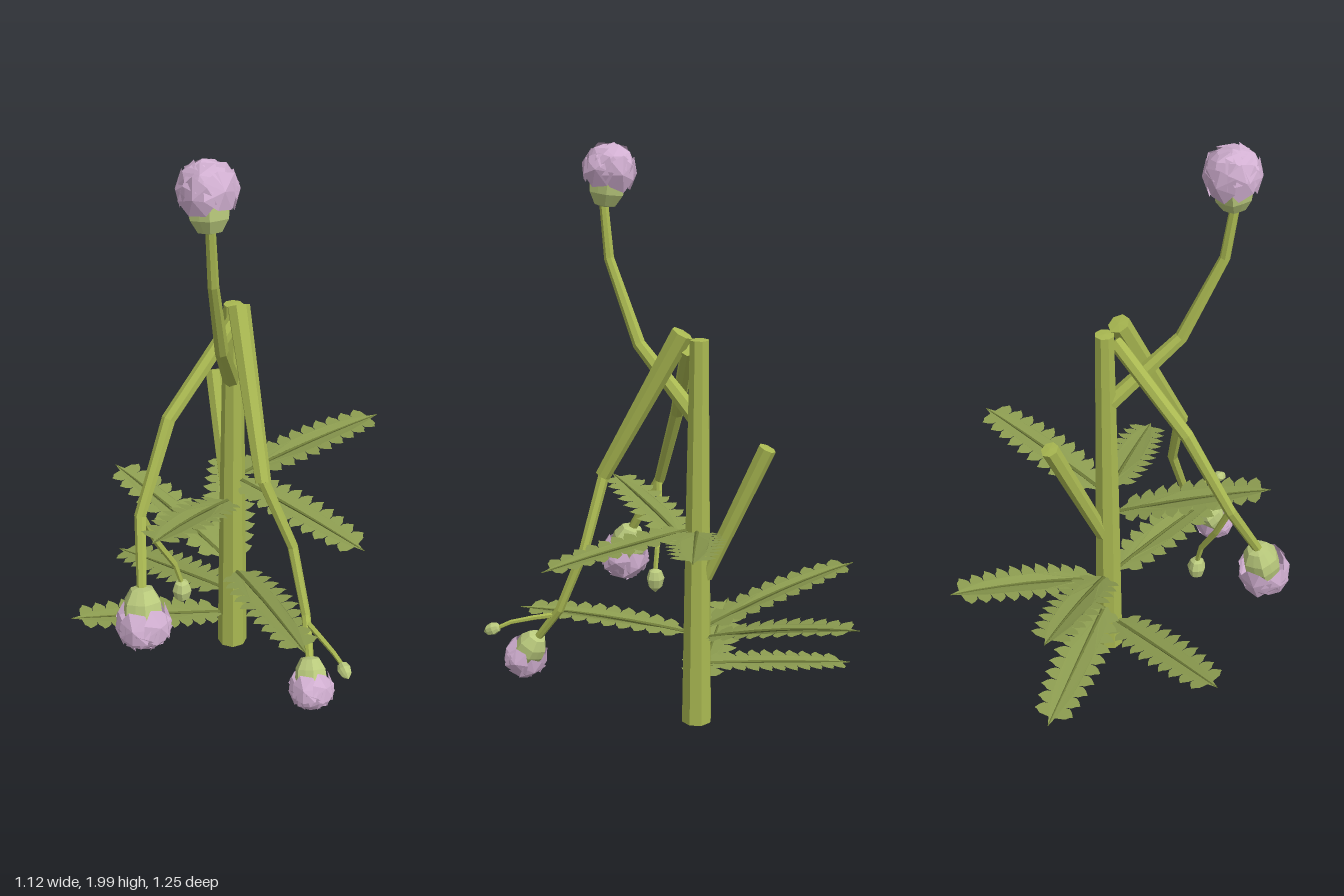
import * as THREE from 'three';
import { mergeGeometries } from 'three/addons/utils/BufferGeometryUtils.js';

const V = (x, y, z) => new THREE.Vector3(x, y, z);
const mat = (color) => new THREE.MeshStandardMaterial({ color, flatShading: true, side: THREE.DoubleSide });
const STEM = mat(0xa9b851), LEAF = mat(0x8c9c50), RIB = mat(0x6d7a38), CALYX = mat(0xb9c97c), PETAL = mat(0xd2b0d2);
const UP = V(0, 1, 0);

// Straight-segmented path whose corners fall exactly on the tube rings
class Polyline extends THREE.Curve {
  constructor(pts) { super(); this.pts = pts; }
  getPoint(t, out = V(0, 0, 0)) {
    const n = this.pts.length - 1, f = t * n, i = Math.min(Math.floor(f + 1e-9), n - 1);
    return out.lerpVectors(this.pts[i], this.pts[i + 1], f - i);
  }
  getPointAt(t, out) { return this.getPoint(t, out); }
  getTangentAt(t, out) { return this.getTangent(t, out); }
}

function add(parent, name, geo, material) {
  const m = new THREE.Mesh(geo, material);
  m.name = name;
  parent.add(m);
  return m;
}

// Capped stalk through [x, y, z, radius] points
function stalk(parent, name, pts, sides = 7, material = STEM) {
  const p = pts.map((a) => V(a[0], a[1], a[2])), r = pts.map((a) => a[3]), n = p.length;
  const cap = (end, prev) => end.clone().add(end.clone().sub(prev).setLength(0.002));
  const path = [cap(p[0], p[1]), ...p, cap(p[n - 1], p[n - 2])];
  const radii = [0.0001, ...r, 0.0001];
  const geo = new THREE.TubeGeometry(new Polyline(path), path.length - 1, 1, sides, false);
  const pos = geo.attributes.position, v = V(0, 0, 0);
  for (let i = 0; i < pos.count; i++) {
    const k = Math.floor(i / (sides + 1));
    v.fromBufferAttribute(pos, i).sub(path[k]).multiplyScalar(radii[k]).add(path[k]);
    pos.setXYZ(i, v.x, v.y, v.z);
  }
  return add(parent, name, geo, material);
}

// Half of a lobed blade: u runs along the midrib, w is the distance from it
function halfBlade() {
  const lobes = 10, start = 0.06, d = 0.088;
  const width = (u) => 0.1 * (0.6 + 0.4 * Math.sin(Math.PI * Math.pow(u, 0.85)));
  const s = new THREE.Shape();
  s.moveTo(0, 0);
  s.lineTo(0, 0.008);
  for (let i = 0; i < lobes; i++) {
    const u = start + i * d, w = width(u + d / 2);
    [[0, 0.45], [0.02, 0.68], [0.25, 0.85], [0.62, 1], [0.72, 0.84], [0.92, 0.68]]
      .forEach(([a, b]) => s.lineTo(u + a * d, w * b));
  }
  s.lineTo(start + lobes * d, 0.012);
  s.lineTo(1, 0.001);
  for (let i = 20; i > 0; i--) s.lineTo(i / 20.2, 0);
  return new THREE.ShapeGeometry(s);
}

// Leaf bent along an arched midrib from base to tip
function leaf(parent, base, tip, arch) {
  const g = new THREE.Group();
  g.name = 'leaf';
  parent.add(g);
  const mid = base.clone().lerp(tip, 0.5);
  mid.y += arch;
  const curve = new THREE.QuadraticBezierCurve3(base, mid, tip);
  const side = tip.clone().sub(base).cross(UP).normalize();
  const halves = [1, -1].map((sgn) => {
    const geo = halfBlade(), pos = geo.attributes.position;
    for (let i = 0; i < pos.count; i++) {
      const w = pos.getY(i);
      const p = curve.getPoint(pos.getX(i)).addScaledVector(side, sgn * w);
      pos.setXYZ(i, p.x, p.y + w * 0.06, p.z);
    }
    // Both halves wind so that their front faces up
    if (sgn > 0) geo.index.array.reverse();
    geo.computeVertexNormals();
    return geo;
  });
  add(g, 'blade', mergeGeometries(halves), LEAF);
  const rib = curve.getPoints(6).map((p, i) => [p.x, p.y, p.z, 0.008 - 0.001 * i]);
  stalk(g, 'midrib', rib, 5, RIB);
}

// Ribbed cup or bud: lathe profile with every second edge pulled in
function ribbed(profile, sides) {
  const geo = new THREE.LatheGeometry(profile.map(([r, y]) => new THREE.Vector2(r, y)), sides);
  const pos = geo.attributes.position, rows = profile.length;
  for (let i = 0; i < pos.count; i++) {
    const k = Math.floor(i / rows) % 2 ? 0.9 : 1;
    pos.setX(i, pos.getX(i) * k);
    pos.setZ(i, pos.getZ(i) * k);
  }
  return geo;
}

// Group standing at a point with its y axis along dir
function aimed(parent, name, at, dir, scale) {
  const g = new THREE.Group();
  g.name = name;
  g.position.copy(at);
  g.quaternion.setFromUnitVectors(UP, dir.normalize());
  g.scale.setScalar(scale);
  parent.add(g);
  return g;
}

function flower(parent, at, dir, scale) {
  const g = aimed(parent, 'flower', at, dir, scale);
  add(g, 'calyx', ribbed([[0.001, 0], [0.04, 0.01], [0.064, 0.05], [0.068, 0.09], [0.058, 0.13], [0.001, 0.16]], 12), CALYX);
  // Cupped petals in rings around a ball
  const petals = [], R = 0.094;
  [[6, 0.02, 0.06], [5, 0.72, 0.054], [1, 1.57, 0.048]].forEach(([n, elev, r], ring) => {
    for (let i = 0; i < n; i++) {
      const a = (i + ring * 0.5) / n * Math.PI * 2, e = elev + 0.13 * Math.sin(i * 2.4 + ring);
      const geo = new THREE.CircleGeometry(r, 7, i * 0.8), pos = geo.attributes.position;
      for (let k = 1; k < pos.count; k++) {
        const j = 1 + 0.1 * Math.sin(((k - 1) % 7) * 2.6 + i);
        pos.setXYZ(k, pos.getX(k) * j, pos.getY(k) * j, -0.022 + 0.007 * Math.sin(((k - 1) % 7) * 1.9 + i));
      }
      const out = V(Math.cos(e) * Math.cos(a), Math.sin(e), Math.cos(e) * Math.sin(a));
      geo.applyQuaternion(new THREE.Quaternion().setFromUnitVectors(V(0, 0, 1), out));
      geo.translate(out.x * R, out.y * R * 0.98 + 0.128, out.z * R);
      petals.push(geo);
    }
  });
  add(g, 'petals', mergeGeometries(petals), PETAL);
}

function bud(parent, at, dir, scale) {
  const g = aimed(parent, 'bud', at, dir, scale);
  add(g, 'budCase', ribbed([[0.001, 0], [0.024, 0.012], [0.034, 0.04], [0.026, 0.072], [0.001, 0.094]], 10), CALYX);
}

export function createModel() {
  const root = new THREE.Group();
  root.name = 'floweringPlant';

  // Main stem and cut side branch
  stalk(root, 'mainStem', [[0.018, 0, -0.028, 0.054], [0.018, 0.7, -0.032, 0.044], [0.02, 1.365, -0.038, 0.033]], 8);
  stalk(root, 'cutBranch', [[0.01, 0.54, -0.055, 0.026], [-0.038, 1.01, -0.262, 0.031]], 7);

  // Upright flower
  stalk(root, 'uprightStalk', [[0.012, 1.1, -0.02, 0.03], [-0.03, 1.32, 0.215, 0.023], [-0.06, 1.6, 0.345, 0.018], [-0.068, 1.78, 0.367, 0.016]]);
  flower(root, V(-0.069, 1.77, 0.366), V(-0.04, 1, -0.14), 1);

  // Drooping flower on the right, with its side bud
  stalk(root, 'rightStalk', [[0.025, 1.33, 0.0, 0.026], [-0.2, 1.05, 0.16, 0.024], [-0.3, 0.76, 0.285, 0.02], [-0.3, 0.55, 0.405, 0.017]]);
  flower(root, V(-0.3, 0.565, 0.4), V(0.02, -0.95, 0.28), 1);
  stalk(root, 'rightBudStalk', [[-0.295, 0.76, 0.285, 0.012], [-0.25, 0.64, 0.26, 0.011], [-0.19, 0.53, 0.238, 0.01], [-0.168, 0.45, 0.235, 0.009]], 6);
  bud(root, V(-0.168, 0.465, 0.235), V(0, -1, 0), 1);

  // Drooping flower on the left: heavy branch, thin stalk and side bud
  stalk(root, 'leftBranch', [[0.033, 1.385, 0.018, 0.038], [0.1, 0.88, 0.29, 0.027]]);
  stalk(root, 'leftStalk', [[0.098, 0.89, 0.285, 0.02], [0.2, 0.64, 0.31, 0.018], [0.242, 0.42, 0.39, 0.016], [0.25, 0.3, 0.48, 0.014]]);
  flower(root, V(0.25, 0.315, 0.475), V(0.02, -0.85, 0.5), 0.82);
  stalk(root, 'leftBudStalk', [[0.242, 0.4, 0.4, 0.01], [0.28, 0.39, 0.47, 0.009], [0.32, 0.375, 0.54, 0.008], [0.345, 0.355, 0.58, 0.007]], 6);
  bud(root, V(0.34, 0.36, 0.57), V(0.3, -0.35, 0.88), 0.68);

  // Leaves in three tiers: base height, tip, arch
  [
    [0.13, [-0.56, 0.23, 0.125], 0.01], [0.21, [-0.405, 0.135, -0.44], 0.01],
    [0.32, [0.02, 0.45, -0.625], 0.035], [0.35, [-0.405, 0.52, -0.44], 0.03], [0.33, [0.225, 0.395, 0.56], 0.025],
    [0.71, [0.555, 0.8, -0.285], 0.02], [0.71, [0.435, 0.63, 0.33], 0.015], [0.63, [-0.26, 0.77, 0.46], 0.025],
  ].forEach(([y, t, arch]) => {
    const tip = V(...t), base = V(0.018, y, -0.03);
    const out = tip.clone().sub(base).setY(0).setLength(0.035);
    leaf(root, base.add(out), tip, arch);
  });

  return root;
}
